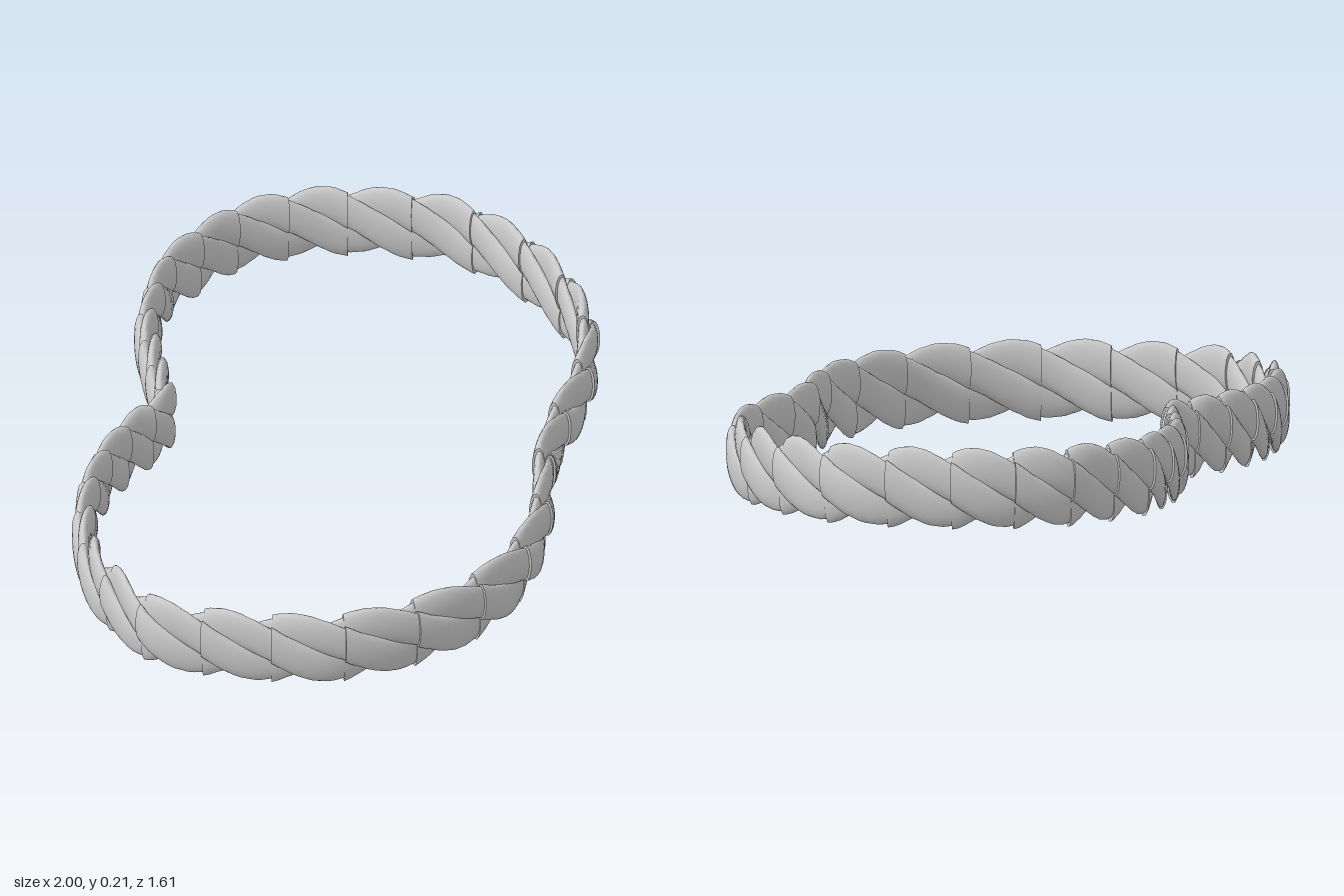
import * as THREE from 'three';

const STRANDS = 3, TURNS = 11, SEGMENTS = 33; // rope layout around the ring
const STEPS = 12, SIDES = 12;                 // resolution of one strand piece
const HALF_THICK = 0.029, HALF_HEIGHT = 0.104, MID_Y = 0.122;

// Centre line of the ring as x, z pairs
const outline = [
  [0.32, -0.765], [0.47, -0.77], [0.61, -0.75], [0.78, -0.64], [0.89, -0.49], [0.965, -0.32],
  [0.95, -0.1], [0.89, 0.07], [0.78, 0.24], [0.6, 0.37], [0.42, 0.44], [0.24, 0.52],
  [0.12, 0.61], [-0.03, 0.7], [-0.24, 0.765], [-0.47, 0.75], [-0.72, 0.62], [-0.85, 0.46],
  [-0.94, 0.28], [-0.965, 0.17], [-0.92, 0.02], [-0.86, -0.1], [-0.7, -0.25], [-0.5, -0.35],
  [-0.3, -0.385], [-0.19, -0.385], [-0.05, -0.52], [0.07, -0.64], [0.2, -0.715],
];

// Pieces are packed more tightly near the pinch at the back
const PINCH = 0.9;
const warp = (u) => u - 0.3 * Math.sin(2 * Math.PI * (u - PINCH)) / (2 * Math.PI);

// One capped piece of a strand, swept from u0 to u1 and flaring to its end
function strandPiece(path, strand, u0, u1) {
  const pos = [], index = [];
  const up = new THREE.Vector3(0, 1, 0), out = new THREE.Vector3();
  const ring = (t, scale) => {
    const u = u0 + (u1 - u0) * t;
    const s = ((warp(u) % 1) + 1) % 1;
    const centre = path.getPointAt(s);
    out.crossVectors(up, path.getTangentAt(s)).normalize();
    const phi = 2 * Math.PI * (TURNS * u + strand / STRANDS);
    const flare = 0.94 + 0.12 * t;
    const start = pos.length / 3;
    for (let j = 0; j < SIDES; j++) {
      const a = phi + (j / SIDES) * 2 * Math.PI;
      // a round strand beside the rope's axis, then squashed flat
      const n = (0.5 * Math.cos(phi) + 0.5 * scale * Math.cos(a)) * HALF_THICK * (flare + 0.12 * t);
      const h = (0.5 * Math.sin(phi) + 0.5 * scale * Math.sin(a)) * HALF_HEIGHT * flare;
      pos.push(centre.x + out.x * n, MID_Y + h, centre.z + out.z * n);
    }
    return start;
  };
  const join = (a, b) => {
    for (let j = 0; j < SIDES; j++) {
      const k = (j + 1) % SIDES;
      index.push(a + j, a + k, b + j, a + k, b + k, b + j);
    }
  };
  // Side wall
  let last = ring(0, 1);
  for (let i = 1; i <= STEPS; i++) {
    const next = ring(i / STEPS, 1);
    join(last, next);
    last = next;
  }
  // End caps
  join(ring(0, 0.001), ring(0, 1));
  join(ring(1, 1), ring(1, 0.001));

  const geometry = new THREE.BufferGeometry();
  geometry.setAttribute('position', new THREE.Float32BufferAttribute(pos, 3));
  geometry.setIndex(index);
  geometry.computeVertexNormals();
  return geometry;
}

export function createModel() {
  const model = new THREE.Group();
  model.name = 'twistedRopeRing';
  const material = new THREE.MeshStandardMaterial({ color: 0xcccccc, side: THREE.DoubleSide });
  const path = new THREE.CatmullRomCurve3(
    outline.map(([x, z]) => new THREE.Vector3(x, 0, z)), true, 'centripetal');

  // Overlapping segments, each with its twisted strands
  for (let i = 0; i < SEGMENTS; i++) {
    const segment = new THREE.Group();
    segment.name = 'ropeSegment';
    for (let k = 0; k < STRANDS; k++) {
      const piece = strandPiece(path, k, i / SEGMENTS, (i + 1.15) / SEGMENTS);
      const mesh = new THREE.Mesh(piece, material);
      mesh.name = 'strand';
      segment.add(mesh);
    }
    model.add(segment);
  }
  return model;
}
